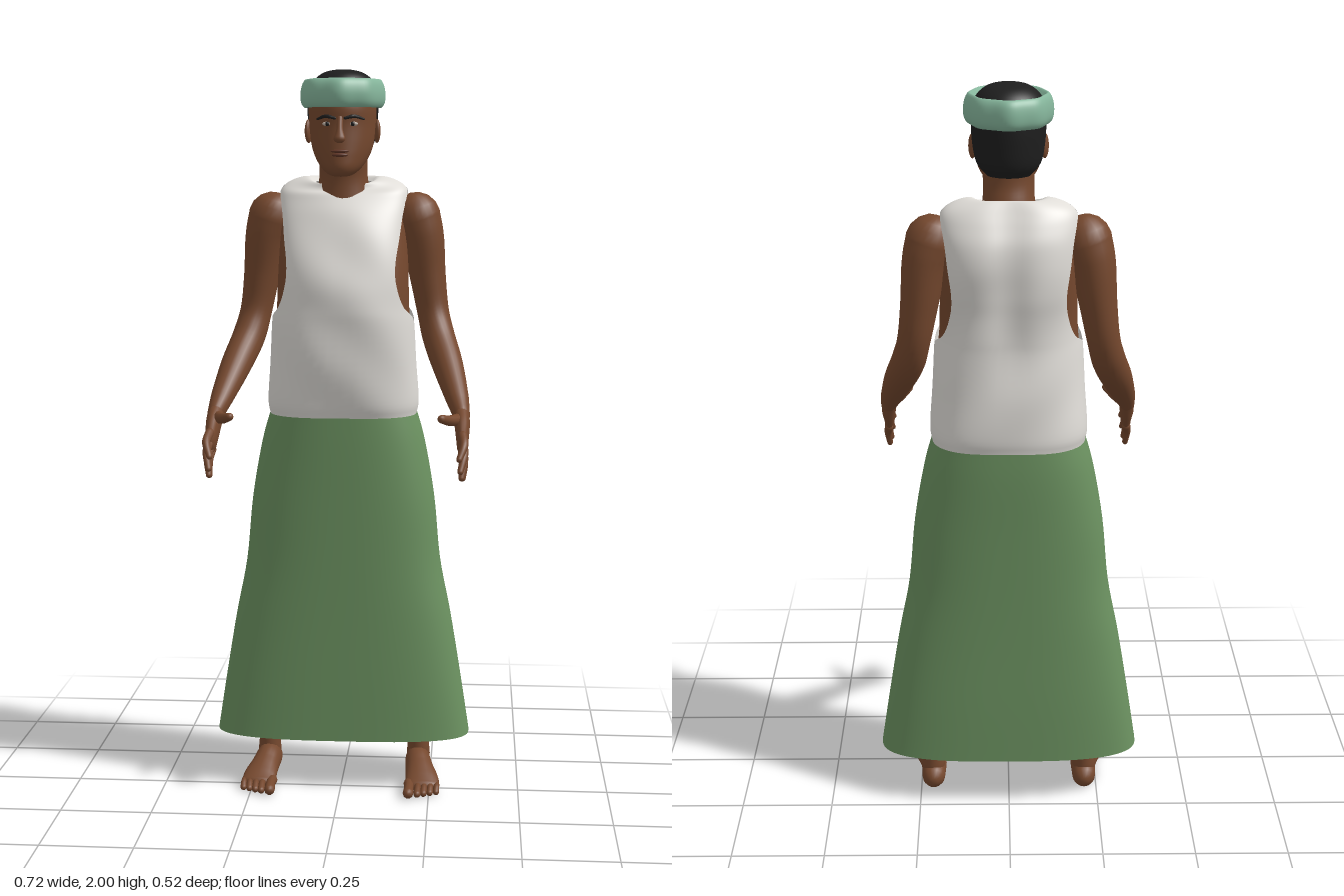
import * as THREE from 'three';
import { mergeVertices, mergeGeometries } from 'three/addons/utils/BufferGeometryUtils.js';

const mat = (name, color, side = THREE.FrontSide) =>
  Object.assign(new THREE.MeshStandardMaterial({ color, side }), { name });
const skin = mat('skin', 0x75482e);
const cotton = mat('white cotton', 0xe0ddd8, THREE.DoubleSide);
const greenCloth = mat('green cloth', 0x6b9160, THREE.DoubleSide);
const paleGreen = mat('pale green cloth', 0x86b69c, THREE.DoubleSide);
const hairBlack = mat('black hair', 0x1e1e1e, THREE.DoubleSide);
const lipBrown = mat('lip brown', 0x5f3526);
const eyeWhite = mat('eye white', 0xb9aca0);

// Smooth surface from a grid of points; rows run upward, columns run from +x to +z
function grid(rows, cols, point) {
  const pos = [], index = [];
  for (let i = 0; i <= rows; i++)
    for (let j = 0; j <= cols; j++) pos.push(...point(i / rows, j / cols));
  for (let i = 0; i < rows; i++)
    for (let j = 0; j < cols; j++) {
      const a = i * (cols + 1) + j, c = a + cols + 1;
      index.push(a, c, a + 1, c, c + 1, a + 1);
    }
  const g = new THREE.BufferGeometry();
  g.setAttribute('position', new THREE.Float32BufferAttribute(pos, 3));
  g.setIndex(index);
  return weld(g);
}
function weld(g) {
  g.deleteAttribute('normal');
  const m = mergeVertices(g, 1e-5);
  m.computeVertexNormals();
  return m;
}

// Loft through rings [y, half width, front z, back z, roundness, side gap angle]
function loft(rings, { part = 'full', cols = 48, step = 5, tweak } = {}) {
  const full = rings.map(r => [...r, ...[2, 0].slice(r.length - 4)]);
  const spline = new THREE.CubicInterpolant(full.map((_, i) => i), full.flat(), 6, new Array(6));
  return grid((rings.length - 1) * step, cols, (u, v) => {
    const [y, rx, zf, zb, p, gap] = spline.evaluate(u * (rings.length - 1));
    let t = v * Math.PI * 2;
    if (part === 'front') t = gap + v * (Math.PI - 2 * gap);
    if (part === 'back') t = Math.PI + gap + v * (Math.PI - 2 * gap);
    const bend = n => Math.sign(n) * Math.abs(n) ** (2 / p);
    const q = [rx * bend(Math.cos(t)), y, (zf + zb) / 2 + (zf - zb) / 2 * bend(Math.sin(t))];
    if (tweak) tweak(q, t);
    return q;
  });
}

// Round-ended limb through points [x, y, z, radius across x, other radius]
function limb(points, cols = 16, step = 6) {
  const path = new THREE.CatmullRomCurve3(points.map(p => new THREE.Vector3(p[0], p[1], p[2])));
  const size = new THREE.CatmullRomCurve3(
    points.map(p => new THREE.Vector3(p[3], p[4] ?? p[3], 0)), false, 'catmullrom');
  const stations = [];
  const cap = [0, 0.25, 0.5, 0.75];
  for (const c of cap) stations.push([0, c - 1]);
  const n = (points.length - 1) * step;
  for (let i = 0; i <= n; i++) stations.push([i / n, 0]);
  for (const c of cap.slice().reverse()) stations.push([1, 1 - c]);
  return grid(stations.length - 1, cols, (u, v) => {
    const [s, k] = stations[Math.round(u * (stations.length - 1))];
    const c = path.getPoint(s), r = size.getPoint(s), T = path.getTangent(s);
    const N = new THREE.Vector3(1, 0, 0).addScaledVector(T, -T.x).normalize();
    const B = new THREE.Vector3().crossVectors(T, N);
    const a = k * Math.PI / 2, t = -v * Math.PI * 2;
    c.addScaledVector(T, Math.sin(a) * r.y)
      .addScaledVector(N, Math.cos(t) * Math.cos(a) * r.x)
      .addScaledVector(B, Math.sin(t) * Math.cos(a) * r.y);
    return [c.x, c.y, c.z];
  });
}

export function createModel() {
  const model = new THREE.Group();
  model.name = 'standingMan';
  const add = (name, geo, material, parent = model) => {
    const m = new THREE.Mesh(geo, material);
    m.name = name;
    parent.add(m);
    return m;
  };
  const ball = (name, material, parent, x, y, z, sx, sy, sz) => {
    const m = add(name, new THREE.SphereGeometry(1, 16, 12), material, parent);
    m.position.set(x, y, z);
    m.scale.set(sx, sy, sz);
    return m;
  };

  // Long open wrap skirt
  add('skirt', loft([
    [0.14, 0.36, 0.025, -0.252, 2.9], [0.3, 0.335, 0.025, -0.252, 2.9],
    [0.48, 0.305, 0.025, -0.25, 2.8], [0.64, 0.274, 0.026, -0.25, 2.7],
    [0.82, 0.256, 0.028, -0.252, 2.6], [0.98, 0.228, 0.03, -0.255, 2.5],
    [1.08, 0.2, 0.03, -0.252, 2.5]], { cols: 64 }), greenCloth);

  // Sleeveless shirt: front and back panels that part around the armholes
  const shirtRings = [
    [1.06, 0.205, 0.034, -0.257, 2.6, 0], [1.1, 0.21, 0.045, -0.262, 2.6, 0],
    [1.2, 0.203, 0.06, -0.257, 2.5, 0], [1.31, 0.197, 0.067, -0.246, 2.4, 0],
    [1.36, 0.192, 0.068, -0.245, 2.4, 0.5], [1.42, 0.19, 0.064, -0.247, 2.4, 0.7],
    [1.48, 0.188, 0.05, -0.254, 2.4, 0.72], [1.55, 0.185, 0.025, -0.257, 2.4, 0.6],
    [1.61, 0.184, -0.005, -0.247, 2.4, 0.5], [1.655, 0.182, -0.035, -0.225, 2.3, 0.33],
    [1.685, 0.17, -0.052, -0.206, 2.2, 0], [1.705, 0.14, -0.058, -0.192, 2, 0],
    [1.714, 0.1, -0.055, -0.182, 2, 0], [1.7, 0.076, -0.045, -0.175, 2, 0]];
  const shirtShape = (q, t) => {
    const s = Math.sin(t);
    q[1] -= 0.025 * Math.max(0, s) * THREE.MathUtils.smoothstep(q[1], 1.66, 1.71);
    if (s < 0) q[2] += 0.014 * Math.exp(-((q[0] / 0.05) ** 2)) * THREE.MathUtils.smoothstep(q[1], 1.2, 1.4);
    q[2] += 0.003 * s * Math.sin(28 * q[1] + 22 * q[0]);
  };
  add('shirt', weld(mergeGeometries(['front', 'back'].map(part =>
    loft(shirtRings, { part, cols: 32, tweak: shirtShape })))), cotton);

  // Body under the shirt, and neck
  add('torso', loft(shirtRings.slice(2, -1).map(([y, rx, zf, zb, p]) =>
    [y - 0.008, rx - 0.009, zf - 0.009, zb + 0.009, p]), { tweak: shirtShape }), skin);
  add('neck', loft([[1.62, 0.085, -0.03, -0.185], [1.7, 0.068, -0.035, -0.168],
    [1.75, 0.066, -0.025, -0.155], [1.81, 0.07, -0.01, -0.155]], { cols: 32 }), skin);

  // Head
  const head = new THREE.Group();
  head.name = 'head';
  model.add(head);
  add('skull', loft([
    [1.713, 0, 0, 0], [1.717, 0.028, 0.03, -0.035], [1.735, 0.052, 0.043, -0.085],
    [1.765, 0.072, 0.043, -0.135], [1.8, 0.084, 0.04, -0.16], [1.85, 0.09, 0.036, -0.172],
    [1.9, 0.092, 0.037, -0.175], [1.945, 0.084, 0.018, -0.168], [1.975, 0.05, -0.03, -0.13],
    [1.985, 0, -0.08, -0.08]]), skin, head);
  add('nose', limb([[0, 1.868, 0.032, 0.008], [0, 1.838, 0.043, 0.009], [0, 1.814, 0.049, 0.016, 0.012]]), skin, head);
  ball('upperLip', lipBrown, head, 0, 1.781, 0.039, 0.025, 0.005, 0.009);
  ball('lowerLip', lipBrown, head, 0, 1.771, 0.038, 0.022, 0.006, 0.009);
  for (const s of [1, -1]) {
    ball('eye', eyeWhite, head, s * 0.034, 1.853, 0.026, 0.014, 0.006, 0.006);
    ball('pupil', hairBlack, head, s * 0.034, 1.853, 0.029, 0.006, 0.006, 0.005);
    add('eyebrow', limb([[s * 0.014, 1.868, 0.035, 0.004], [s * 0.038, 1.873, 0.029, 0.005],
      [s * 0.062, 1.866, 0.011, 0.003]], 8), hairBlack, head);
    ball('ear', skin, head, s * 0.093, 1.835, -0.07, 0.009, 0.032, 0.019).rotation.y = s * 0.3;
  }
  add('backHair', loft([
    [1.77, 0.07, 0.02, -0.163, 2, 0.7], [1.8, 0.088, 0.03, -0.18, 2, 0.4],
    [1.85, 0.094, 0.035, -0.187, 2, 0.12], [1.9, 0.096, 0.037, -0.19, 2, -0.22],
    [1.94, 0.092, 0.02, -0.188, 2, -0.25]], { part: 'back', cols: 32 }), hairBlack, head);
  add('topHair', loft([[1.93, 0.091, 0.002, -0.19], [1.965, 0.084, -0.003, -0.182],
    [1.988, 0.06, -0.025, -0.155], [1.998, 0.03, -0.06, -0.12], [2, 0, -0.09, -0.09]]), hairBlack, head);

  // Rolled, lobed headband
  add('headband', loft([
    [1.915, 0.088, 0.035, -0.185], [1.897, 0.1, 0.05, -0.2], [1.91, 0.111, 0.062, -0.213],
    [1.935, 0.113, 0.066, -0.216], [1.96, 0.108, 0.06, -0.211], [1.973, 0.098, 0.046, -0.198],
    [1.962, 0.086, 0.028, -0.182]], {
    cols: 80,
    tweak: (q, t) => {
      const k = 1 + 0.022 * Math.cos(8 * t);
      q[0] *= k;
      q[2] = -0.075 + (q[2] + 0.075) * k;
    },
  }), paleGreen, head);

  // Limbs, mirrored left and right
  for (const s of [1, -1]) {
    const side = s > 0 ? 'left' : 'right';
    const part = (name, pts, cols) =>
      add(side + name, limb(pts.map(([x, ...rest]) => [s * x, ...rest]), cols), skin);

    part('Arm', [[0.2, 1.605, -0.128, 0.066], [0.216, 1.55, -0.132, 0.06, 0.066],
      [0.232, 1.44, -0.138, 0.05, 0.058], [0.248, 1.34, -0.133, 0.044, 0.052],
      [0.264, 1.275, -0.105, 0.045, 0.05], [0.292, 1.2, -0.035, 0.042, 0.044],
      [0.32, 1.12, 0.055, 0.031, 0.032], [0.331, 1.085, 0.095, 0.023, 0.028]], 24);
    part('Palm', [[0.331, 1.085, 0.095, 0.022, 0.027], [0.334, 1.055, 0.128, 0.02, 0.038],
      [0.335, 1.022, 0.163, 0.016, 0.04]]);
    part('Thumb', [[0.328, 1.075, 0.115, 0.017], [0.305, 1.078, 0.165, 0.015],
      [0.28, 1.088, 0.207, 0.011]], 10);
    // Fingers: knuckle and tip as z, y pairs
    [[0.188, 1.042, 0.25, 0.988], [0.18, 1.022, 0.247, 0.955],
      [0.168, 1.004, 0.222, 0.934], [0.152, 0.99, 0.19, 0.928]].forEach(([z, y, tz, ty], i) =>
      part('Finger', [[0.336, y, z, 0.0125], [0.34, (y + ty) / 2 + 0.006, (z + tz) / 2 + 0.004, 0.011],
        [0.328 + 0.003 * i, ty, tz, 0.008]], 10));

    part('Leg', [[0.1, 1, -0.11, 0.08], [0.13, 0.75, -0.105, 0.075], [0.165, 0.5, -0.11, 0.056],
      [0.195, 0.33, -0.125, 0.05], [0.213, 0.15, -0.125, 0.03, 0.037], [0.216, 0.06, -0.125, 0.033, 0.037]], 20);
    part('Foot', [[0.215, 0.036, -0.148, 0.033, 0.035], [0.215, 0.046, -0.1, 0.036, 0.044],
      [0.222, 0.038, -0.05, 0.04, 0.036], [0.23, 0.026, 0, 0.047, 0.025],
      [0.232, 0.019, 0.03, 0.047, 0.016]], 20);
    for (let i = 0; i < 5; i++) {
      const r = i ? 0.0105 - i * 0.0004 : 0.015;
      const x = i ? 0.201 + i * 0.0175 : 0.194;
      part('Toe', [[x, 0.02, 0.02, r], [x + 0.001, 0.02, 0.055 - i * 0.004, r * 0.9],
        [x, r + 0.001, 0.088 - i * 0.008, r]], 10);
    }
  }
  return model;
}
